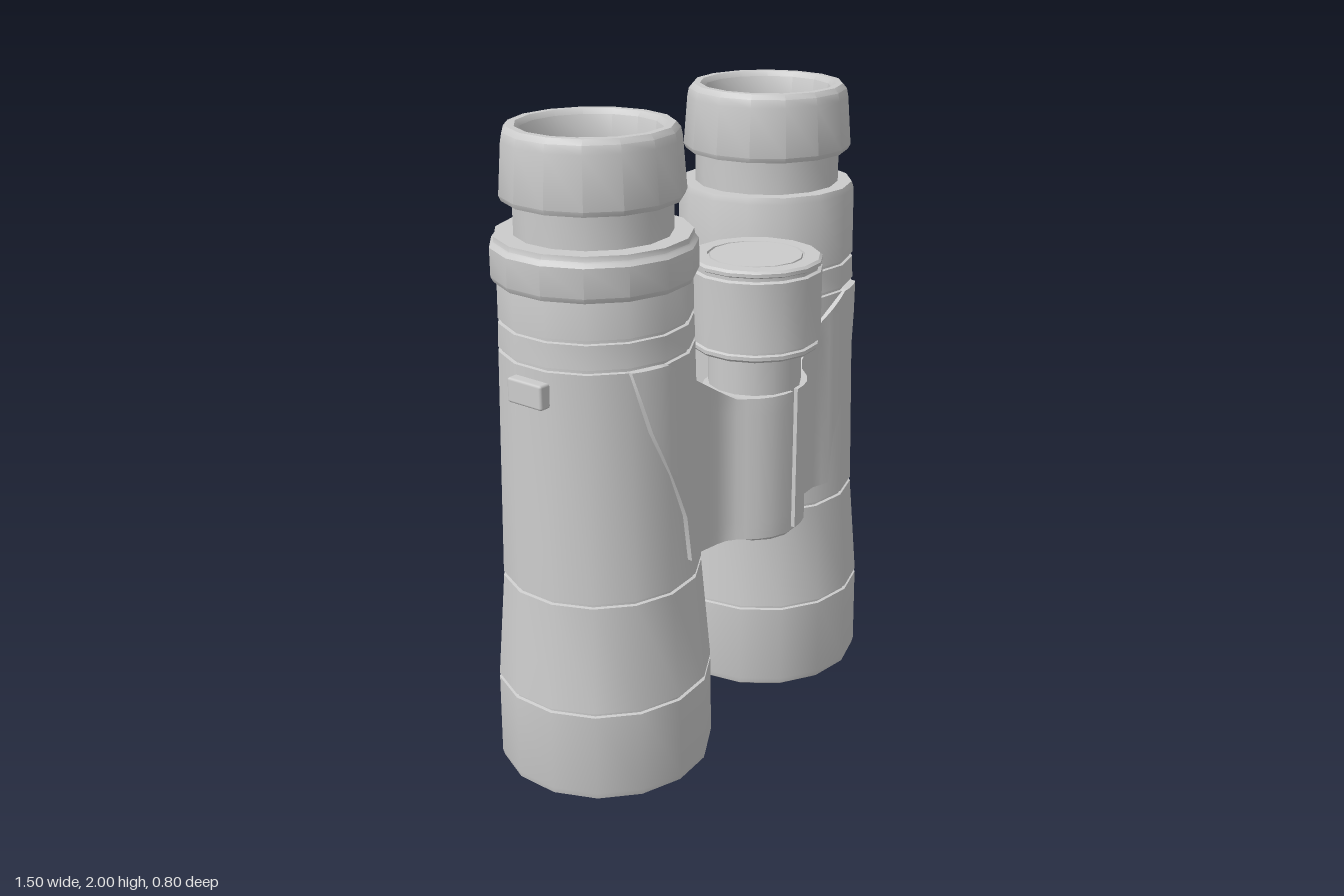
import * as THREE from 'three';
import { toCreasedNormals } from 'three/addons/utils/BufferGeometryUtils.js';
import { RoundedBoxGeometry } from 'three/addons/geometries/RoundedBoxGeometry.js';

const SIDES = 15, TUBE_X = 0.42, TUBE_Z = -0.065, HINGE_Z = 0.2;
const material = new THREE.MeshStandardMaterial({ color: 0xcccccc });

function addMesh(parent, name, geometry, x = 0, y = 0, z = 0) {
  const mesh = new THREE.Mesh(geometry, material);
  mesh.name = name;
  mesh.position.set(x, y, z);
  parent.add(mesh);
  return mesh;
}

// Turned part from [radius, height] pairs running bottom to top on the outside
function turned(profile, start, crease = 0.6) {
  const points = profile.map(([r, y]) => new THREE.Vector2(r, y));
  return toCreasedNormals(new THREE.LatheGeometry(points, SIDES, start), crease);
}

// Narrow seam cut into a turned profile
const seam = (r, y) => [[r, y - 0.007], [r - 0.01, y - 0.005], [r - 0.01, y + 0.005], [r, y + 0.007]];

// Piecewise linear lookup in [x, value] pairs
function lookup(table, x) {
  if (x <= table[0][0]) return table[0][1];
  for (let i = 1; i < table.length; i++) {
    const [x0, v0] = table[i - 1], [x1, v1] = table[i];
    if (x <= x1) return v0 + (v1 - v0) * (x - x0) / (x1 - x0);
  }
  return table[table.length - 1][1];
}

function barrel(side) {
  const group = new THREE.Group();
  group.name = side > 0 ? 'leftBarrel' : 'rightBarrel';
  group.position.set(side * TUBE_X, 0, TUBE_Z);
  const start = -side * Math.PI / 2;

  // Body with recessed objective opening and armour seams
  addMesh(group, 'body', turned([
    [0.245, 0.1], [0.262, 0.02], [0.27, 0], [0.318, 0], [0.332, 0.01], [0.337, 0.03],
    ...seam(0.334, 0.3), ...seam(0.305, 0.65), ...seam(0.288, 1.365), ...seam(0.285, 1.45),
    [0.282, 1.67], [0.275, 1.69], [0.22, 1.69],
  ], start));
  addMesh(group, 'objectiveLens', turned([[0, 0.065], [0.09, 0.07], [0.18, 0.085], [0.25, 0.105]], start, 1));

  // Eyepiece neck, cup and stepped ocular recess
  addMesh(group, 'eyepieceNeck', turned([[0.23, 1.68], [0.23, 1.82]], start));
  addMesh(group, 'eyecup', turned([
    [0.22, 1.795], [0.26, 1.795], [0.267, 1.81], [0.255, 1.96], [0.25, 1.985], [0.237, 2],
    [0.215, 2], [0.203, 1.985], [0.195, 1.92], [0.178, 1.915], [0.174, 1.895],
    [0.155, 1.89], [0.15, 1.875], [0.14, 1.87],
  ], start));
  addMesh(group, 'ocularLens', turned([[0.142, 1.87], [0.08, 1.877], [0, 1.88]], start, 1));

  // Diopter ring sits on one barrel only
  if (side < 0) {
    addMesh(group, 'diopterRing', turned([
      [0.275, 1.565], [0.292, 1.565], [0.3, 1.58], [0.3, 1.665], [0.292, 1.675],
      [0.288, 1.68], [0.286, 1.695], [0.22, 1.695],
    ], start));
  }

  addMesh(group, 'strapLug', new RoundedBoxGeometry(0.08, 0.075, 0.13, 1, 0.008),
    side * 0.275, 1.29, 0.005);
  return group;
}

// Hinge arm: half a hinge barrel flowing into a panel that hugs the tube
function armGeometry(side) {
  const top = [[0.17, 1.18], [0.45, 1.36]];
  const bottom = [[0.365, 0.72], [0.386, 0.87], [0.513, 1.17], [0.566, 1.355]];
  const front = [[0.012, 0.353], [0.05, 0.348], [0.09, 0.334], [0.125, 0.31], [0.15, 0.283],
    [0.17, 0.26], [0.195, 0.242], [0.23, 0.234], [0.3, 0.226], [0.36, 0.15]];
  const back = [[0.012, 0.06], [0.1, 0.08], [0.18, 0.13], [0.25, 0.13], [0.566, 0.1]];
  const columns = [0.012, 0.05, 0.09, 0.125, 0.15, 0.17, 0.195, 0.23, 0.265, 0.3, 0.335,
    0.365, 0.386, 0.42, 0.45, 0.48, 0.513, 0.54, 0.566];
  const rows = 8, ring = 2 * (rows + 1);
  const positions = [], index = [];
  for (const x of columns) {
    const y0 = lookup(bottom, x), y1 = lookup(top, x);
    for (let k = 0; k < ring; k++) {
      const isFront = k <= rows;
      const t = isFront ? k / rows : (ring - 1 - k) / rows;
      const y = y0 + (y1 - y0) * t;
      const r = lookup([[0.65, 0.305], [1.365, 0.288]], y) + 0.01;
      const tubeZ = TUBE_Z + Math.sqrt(Math.max(0, r * r - (x - TUBE_X) ** 2));
      const z = isFront ? Math.max(tubeZ, lookup(front, x)) : lookup(back, x);
      positions.push(side * x, y, z);
    }
  }
  const face = (a, b, c) => (side > 0 ? index.push(a, b, c) : index.push(a, c, b));
  for (let i = 0; i < columns.length - 1; i++) {
    for (let k = 0; k < ring; k++) {
      const a = i * ring + k, b = i * ring + (k + 1) % ring;
      face(a, a + ring, b);
      face(b, a + ring, b + ring);
    }
  }
  // Close both ends
  const last = (columns.length - 1) * ring;
  for (let k = 0; k < rows; k++) {
    const m = ring - 1 - k;
    face(k, k + 1, m);
    face(k + 1, m - 1, m);
    face(last + k, last + m, last + k + 1);
    face(last + k + 1, last + m, last + m - 1);
  }
  const geometry = new THREE.BufferGeometry();
  geometry.setAttribute('position', new THREE.Float32BufferAttribute(positions, 3));
  geometry.setIndex(index);
  return toCreasedNormals(geometry, 0.6);
}

export function createModel() {
  const model = new THREE.Group();
  model.name = 'binoculars';

  for (const side of [1, -1]) {
    model.add(barrel(side));
    addMesh(model, side > 0 ? 'leftHingeArm' : 'rightHingeArm', armGeometry(side));
  }

  // Central hinge pin, reaching up to the focus wheel
  const start = Math.PI / 2;
  addMesh(model, 'hingePin', turned([[0, 0.7], [0.135, 0.7], [0.143, 0.71], [0.143, 1.32]], start), 0, 0, HINGE_Z);

  // Focus wheel with a lower lip and an inset cap
  addMesh(model, 'focusWheel', turned([
    [0.13, 1.3], [0.19, 1.3], [0.196, 1.307], [0.196, 1.318], [0.188, 1.322], [0.188, 1.328],
    [0.2, 1.332], [0.2, 1.54], [0.19, 1.545], [0.19, 1.555], [0.2, 1.56], [0.2, 1.57], [0.192, 1.577],
    [0.147, 1.577], [0.145, 1.57], [0.141, 1.57], [0.139, 1.577], [0, 1.577],
  ], start), 0, 0, HINGE_Z);

  return model;
}
